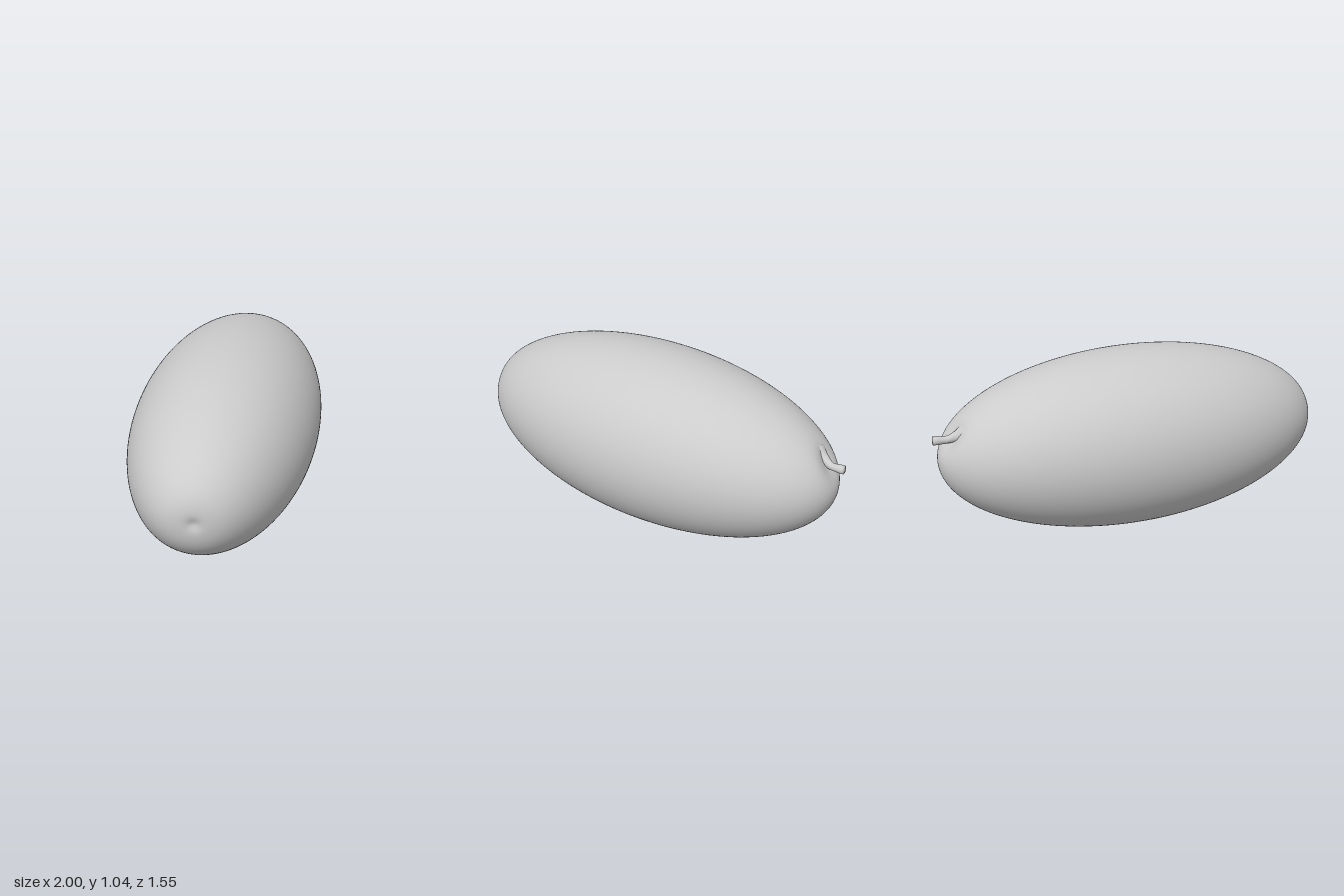
import * as THREE from 'three';
import { mergeVertices } from 'three/addons/utils/BufferGeometryUtils.js';

const HALF_LENGTH = 1.15, HALF_HEIGHT = 0.518, HALF_WIDTH = 0.53;

// Dimples pushed in along the long axis: end (+1 stem, -1 blossom), centre, spread, depth
const DIMPLES = [
  { end: 1, y: 0.15, z: -0.04, spread: 0.055, depth: 0.04 },
  { end: -1, y: -0.01, z: 0.03, spread: 0.1, depth: 0.03 },
  { end: -1, y: 0.0, z: 0.03, spread: 0.025, depth: 0.015 },
];

function makeRind() {
  // Ellipsoid with its poles on the x axis
  let geo = new THREE.SphereGeometry(1, 128, 128);
  geo.rotateZ(-Math.PI / 2);
  geo.scale(HALF_LENGTH, HALF_HEIGHT, HALF_WIDTH);
  const pos = geo.attributes.position;
  for (let i = 0; i < pos.count; i++) {
    let x = pos.getX(i);
    const y = pos.getY(i), z = pos.getZ(i), side = Math.sign(x);
    for (const d of DIMPLES) {
      if (d.end !== side) continue;
      const r2 = (y - d.y) ** 2 + (z - d.z) ** 2;
      x -= side * d.depth * Math.exp(-r2 / (2 * d.spread ** 2));
    }
    pos.setX(i, x);
  }
  // Weld the seam so the normals stay smooth
  geo.deleteAttribute('normal');
  geo.deleteAttribute('uv');
  geo = mergeVertices(geo, 1e-5);
  geo.computeVertexNormals();
  return geo;
}

function makeStem() {
  const path = new THREE.CatmullRomCurve3([
    new THREE.Vector3(1.0, 0.17, -0.055),
    new THREE.Vector3(1.05, 0.158, -0.045),
    new THREE.Vector3(1.1, 0.142, -0.03),
    new THREE.Vector3(1.178, 0.146, -0.028),
  ]);
  // Radius along the stem: flared foot, thin neck, knobbly closed tip
  const radii = [0.06, 0.052, 0.042, 0.034, 0.028, 0.024, 0.022, 0.021, 0.021, 0.022, 0.024, 0.025, 0.0];
  const rings = radii.length - 1, sides = 16;
  const geo = new THREE.TubeGeometry(path, rings, 1, sides);
  const pos = geo.attributes.position, p = new THREE.Vector3();
  for (let i = 0; i <= rings; i++) {
    // the last ring closes the tip flat onto the one before
    const centre = path.getPointAt(i / rings);
    const capShift = i === rings - 1 ? path.getPointAt(1).sub(centre).multiplyScalar(0.85) : new THREE.Vector3();
    for (let j = 0; j <= sides; j++) {
      const k = i * (sides + 1) + j;
      p.fromBufferAttribute(pos, k).sub(centre).multiplyScalar(radii[i]).add(centre).add(capShift);
      pos.setXYZ(k, p.x, p.y, p.z);
    }
  }
  geo.deleteAttribute('normal');
  geo.deleteAttribute('uv');
  const welded = mergeVertices(geo, 1e-5);
  welded.computeVertexNormals();
  return welded;
}

export function createModel() {
  const group = new THREE.Group();
  group.name = 'melon';
  const material = new THREE.MeshStandardMaterial({ color: 0xcccccc });

  const fruit = new THREE.Group();
  fruit.name = 'fruit';
  const rind = new THREE.Mesh(makeRind(), material);
  rind.name = 'rind';
  const stem = new THREE.Mesh(makeStem(), material);
  stem.name = 'stem';
  fruit.add(rind, stem);

  // Lies on the ground, turned so the stem end points right and back
  fruit.rotation.y = THREE.MathUtils.degToRad(33.7);
  fruit.position.y = HALF_HEIGHT;
  group.add(fruit);
  return group;
}
